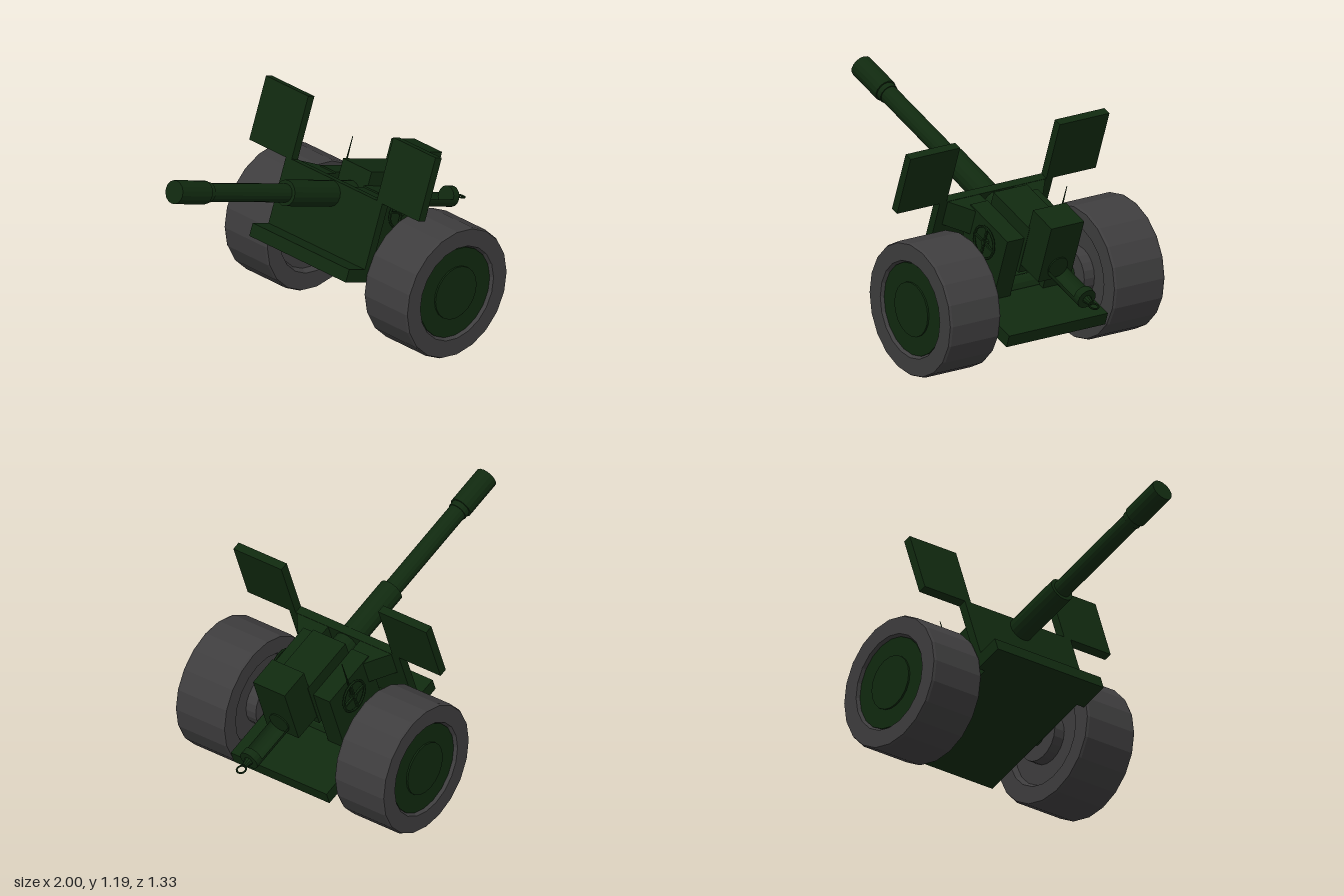
import * as THREE from 'three';

const green = new THREE.MeshStandardMaterial({ color: 0x10290f });
green.name = 'dark green paint';
green.flatShading = true;
const greenOpen = green.clone();
greenOpen.side = THREE.DoubleSide;
const rubber = new THREE.MeshStandardMaterial({ color: 0x3e3d3e });
rubber.name = 'tyre grey';
rubber.flatShading = true;

function add(parent, name, geometry, material, x = 0, y = 0, z = 0) {
  const mesh = new THREE.Mesh(geometry, material);
  mesh.name = name;
  mesh.position.set(x, y, z);
  parent.add(mesh);
  return mesh;
}

// Box given by its low and high limits on each axis
function box(parent, name, [x0, x1], [y0, y1], [z0, z1]) {
  return add(parent, name, new THREE.BoxGeometry(x1 - x0, y1 - y0, z1 - z0), green,
    (x0 + x1) / 2, (y0 + y1) / 2, (z0 + z1) / 2);
}

// Cylinder lying along x
function tube(parent, name, x0, x1, y, r, rFar = r, sides = 16) {
  const g = new THREE.CylinderGeometry(rFar, r, x1 - x0, sides).rotateZ(-Math.PI / 2);
  return add(parent, name, g, green, (x0 + x1) / 2, y, 0);
}

// Disc whose axis lies along z
function disc(parent, name, r, depth, z, material, sides = 20) {
  return add(parent, name, new THREE.CylinderGeometry(r, r, depth, sides).rotateX(Math.PI / 2), material, 0, 0, z);
}

function makeWheel(side) {
  const wheel = new THREE.Group();
  wheel.name = side > 0 ? 'leftWheel' : 'rightWheel';
  const h = 0.153, R = 0.345;
  const profile = [[0, -h + 0.03], [0.235, -h + 0.03], [0.25, -h], [R - 0.006, -h], [R, -h + 0.012],
    [R, h - 0.012], [R - 0.006, h], [0.25, h], [0.235, h - 0.03], [0, h - 0.03]]
    .map(([x, y]) => new THREE.Vector2(x, y));
  add(wheel, 'tyre', new THREE.LatheGeometry(profile, 20).rotateX(Math.PI / 2), rubber);
  // painted outer hub with a raised centre
  disc(wheel, 'hub', 0.238, 0.02, side * 0.128, green);
  disc(wheel, 'hubCap', 0.14, 0.014, side * 0.14, green);
  // inner bearing
  disc(wheel, 'innerHub', 0.13, 0.07, -side * 0.15, rubber);
  wheel.position.z = side * 0.502;
  return wheel;
}

export function createModel() {
  const model = new THREE.Group();
  model.name = 'fieldGun';
  const carriage = new THREE.Group();
  carriage.name = 'carriage';
  carriage.position.set(0.328, 0.345, -0.002);
  carriage.rotation.y = -0.038;
  model.add(carriage);

  // wheels and axle
  for (const side of [1, -1]) carriage.add(makeWheel(side));
  disc(carriage, 'axle', 0.05, 0.72, 0, green, 12);

  // everything else is tilted with the barrel; the muzzle points along -x
  const gun = new THREE.Group();
  gun.name = 'gun';
  gun.rotation.z = -0.349;
  carriage.add(gun);

  // base plate with wide front lip
  box(gun, 'basePlate', [-0.33, 0.366], [-0.055, 0.013], [-0.302, 0.302]);
  box(gun, 'frontLip', [-0.475, -0.315], [-0.055, 0.013], [-0.346, 0.346]);

  // shield and its raised wings
  box(gun, 'shield', [-0.36, -0.315], [0, 0.362], [-0.346, 0.346]);
  for (const s of [1, -1]) {
    const span = (a, b) => (s > 0 ? [a, b] : [-b, -a]);
    box(gun, 'shieldWing', [-0.36, -0.315], [0.358, 0.693], span(0.305, 0.608));
    box(gun, 'cradleArm', [-0.25, 0.08], [0.01, 0.368], span(0.1, 0.205));

    // gusset tying the arm to the shield
    const plan = new THREE.Shape();
    plan.moveTo(-0.317, 0.1 * s);
    plan.lineTo(-0.317, 0.3 * s);
    plan.lineTo(-0.2, 0.205 * s);
    plan.lineTo(-0.2, 0.1 * s);
    const gusset = new THREE.ExtrudeGeometry(plan, { depth: 0.14, bevelEnabled: false });
    gusset.rotateX(Math.PI / 2).translate(0, 0.36, 0);
    add(gun, 'gusset', gusset, green);

    // hand wheel on the outside of the arm
    const hand = new THREE.Group();
    hand.name = 'handWheel';
    hand.position.set(-0.064, 0.27, s * 0.226);
    add(hand, 'handWheelRim', new THREE.TorusGeometry(0.083, 0.007, 6, 16), green);
    for (let i = 0; i < 2; i++) {
      const spoke = add(hand, 'handWheelSpoke', new THREE.BoxGeometry(0.16, 0.01, 0.01), green);
      spoke.rotation.z = i * Math.PI / 2;
    }
    disc(hand, 'handWheelShaft', 0.014, 0.04, -s * 0.01, green, 8);
    gun.add(hand);
  }

  // thin lever on the right arm
  add(gun, 'lever', new THREE.CylinderGeometry(0.002, 0.007, 0.25, 6), green, -0.06, 0.39, -0.218);

  // receiver and breech
  box(gun, 'receiver', [-0.22, 0.1], [0.17, 0.44], [-0.102, 0.102]);
  box(gun, 'breech', [0.09, 0.255], [0.22, 0.547], [-0.1, 0.1]);
  tube(gun, 'breechRing', 0.25, 0.262, 0.292, 0.058);

  // barrel
  tube(gun, 'barrelSleeve', -0.69, -0.2, 0.292, 0.066);
  tube(gun, 'barrel', -1.26, -0.6, 0.292, 0.047);
  tube(gun, 'muzzleCollar', -1.29, -1.25, 0.292, 0.052);
  tube(gun, 'muzzle', -1.497, -1.28, 0.292, 0.0595);

  // loading tray: lower half of a tube
  const tray = new THREE.CylinderGeometry(0.055, 0.055, 0.27, 16, 1, true, -Math.PI / 2, Math.PI);
  tray.rotateX(Math.PI / 2).rotateY(Math.PI / 2);
  // turn the open side up
  tray.computeBoundingBox();
  if (tray.boundingBox.max.y > 0.03) tray.rotateX(Math.PI);
  add(gun, 'loadingTray', tray, greenOpen, 0.385, 0.283, 0);

  // end disc, pin and towing eye
  tube(gun, 'trayEnd', 0.482, 0.522, 0.281, 0.053);
  tube(gun, 'towPin', 0.52, 0.56, 0.281, 0.024, 0.014, 10);
  const eye = add(gun, 'towEye', new THREE.TorusGeometry(0.024, 0.005, 6, 12), green, 0.584, 0.281, 0);
  eye.rotation.x = Math.PI / 2;
  return model;
}
